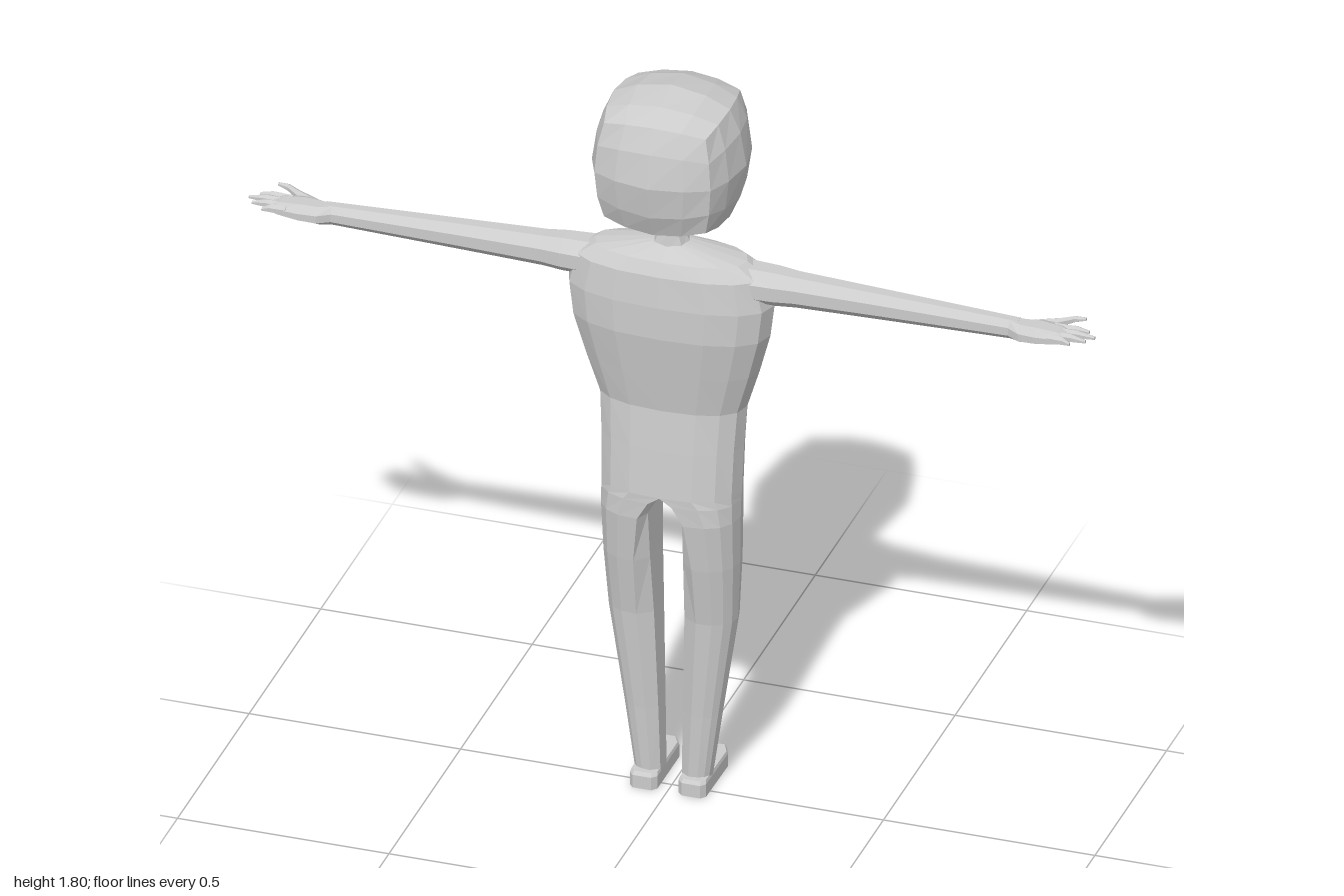
import * as THREE from 'three';

const material = new THREE.MeshStandardMaterial({ color: 0xcccccc, flatShading: true });

// Skin a list of rings (equal point counts) and cap both ends, facing outward.
function loft(rings) {
  const n = rings[0].length, pos = [], idx = [];
  rings.forEach(r => r.forEach(p => pos.push(p[0], p[1], p[2])));
  for (let i = 0; i < rings.length - 1; i++) {
    for (let j = 0; j < n; j++) {
      const a = i * n + j, b = i * n + (j + 1) % n;
      idx.push(a, b, a + n, b, b + n, a + n);
    }
  }
  [0, rings.length - 1].forEach((k, end) => {
    const c = [0, 1, 2].map(d => rings[k].reduce((s, p) => s + p[d], 0) / n);
    const ci = pos.length / 3;
    pos.push(...c);
    for (let j = 0; j < n; j++) {
      const a = k * n + j, b = k * n + (j + 1) % n;
      if (end) idx.push(a, b, ci); else idx.push(b, a, ci);
    }
  });
  // The signed volume tells whether the winding must be reversed.
  const v = i => new THREE.Vector3().fromArray(pos, i * 3);
  let volume = 0;
  for (let i = 0; i < idx.length; i += 3) volume += v(idx[i]).dot(v(idx[i + 1]).cross(v(idx[i + 2])));
  if (volume < 0) idx.reverse();
  const g = new THREE.BufferGeometry();
  g.setAttribute('position', new THREE.Float32BufferAttribute(pos, 3));
  g.setIndex(idx);
  g.computeVertexNormals();
  return g;
}

function mesh(name, geometry) {
  const m = new THREE.Mesh(geometry, material);
  m.name = name;
  return m;
}

// Rounded unit section: superellipse point at an angle.
const power = (v, e) => Math.sign(v) * Math.pow(Math.abs(v), 2 / e);
const unit = (a, e) => [power(Math.cos(a), e), power(Math.sin(a), e)];

// Horizontal section: half width and z range.
function bodyRing([y, w, z0, z1], e = 2.4, n = 16) {
  return Array.from({ length: n }, (_, i) => {
    const [c, s] = unit((i / n) * Math.PI * 2, e);
    return [w * c, y, (z0 + z1) / 2 + ((z1 - z0) / 2) * s];
  });
}

// Leg section: rounded outside, flatter inside; k rounds the inner corners.
function legRing([y, inner, outer, z0, z1, k], side) {
  const w = outer - inner, mid = (z0 + z1) / 2, h = (z1 - z0) / 2, ring = [];
  for (let i = 0; i <= 8; i++) {
    const [c, s] = unit(-Math.PI / 2 + (i / 8) * Math.PI, 2.4);
    ring.push([side * (inner + w * (k + (1 - k) * Math.max(c, 0))), y, mid + h * s]);
  }
  ring.push([side * inner, y, mid + h * 0.6], [side * inner, y, mid - h * 0.6]);
  return ring;
}

// Section across an arm or finger: centre and half sizes.
function limbRing([x, y, z, hy, hz], side, n) {
  return Array.from({ length: n }, (_, i) => {
    const a = ((i + 0.5) / n) * Math.PI * 2;
    return [side * x, y + hy * Math.sin(a), z + hz * Math.cos(a)];
  });
}

// Cube pushed most of the way to a sphere.
function headGeometry() {
  const g = new THREE.BoxGeometry(2, 2, 2, 4, 4, 4), p = g.attributes.position;
  const v = new THREE.Vector3();
  for (let i = 0; i < p.count; i++) {
    v.fromBufferAttribute(p, i);
    const cube = v.clone();
    v.normalize().lerp(cube, 0.25).multiplyScalar(0.176);
    p.setXYZ(i, v.x, v.y + 1.628, v.z);
  }
  g.computeVertexNormals();
  return g;
}

const TORSO = [ // y, half width, z min, z max
  [1.41, 0.04, -0.03, 0.03], [1.385, 0.18, -0.065, 0.075], [1.355, 0.225, -0.082, 0.092],
  [1.28, 0.243, -0.098, 0.1], [1.2, 0.233, -0.1, 0.1], [1.1, 0.205, -0.1, 0.085],
  [1.0, 0.173, -0.1, 0.07], [0.9, 0.167, -0.1, 0.08], [0.785, 0.164, -0.098, 0.09],
];
const LEG = [ // y, inner x, outer x, z min, z max, inner rounding
  [0.785, 0, 0.164, -0.098, 0.09, 0], [0.765, 0.024, 0.163, -0.094, 0.088, 0.03],
  [0.72, 0.04, 0.162, -0.088, 0.085, 0.12], [0.6, 0.039, 0.159, -0.082, 0.068, 0.25],
  [0.45, 0.036, 0.151, -0.074, 0.043, 0.3], [0.2, 0.029, 0.114, -0.058, 0.027, 0.3],
  [0.03, 0.025, 0.09, -0.05, 0.02, 0.3],
];
const ARM = [ // x, y, z, half height, half depth
  [0.15, 1.335, 0, 0.045, 0.06], [0.25, 1.333, 0.002, 0.045, 0.051], [0.3, 1.331, 0, 0.041, 0.043],
  [0.5, 1.328, -0.002, 0.035, 0.035], [0.82, 1.324, -0.003, 0.025, 0.025],
];
const HAND = [
  [0.8, 1.324, -0.003, 0.025, 0.025], [0.83, 1.324, 0.003, 0.024, 0.038],
  [0.87, 1.329, 0.005, 0.021, 0.046], [0.92, 1.333, 0.01, 0.015, 0.04], [0.94, 1.333, 0.012, 0.009, 0.03],
];
const FINGERS = [ // root z, tip x, tip z
  [-0.016, 0.98, -0.021], [0.003, 1.0, 0], [0.021, 0.985, 0.022], [0.037, 0.955, 0.044],
];
const THUMB = [
  [0.85, 1.327, -0.022, 0.014, 0.018], [0.9, 1.33, -0.048, 0.011, 0.013],
  [0.93, 1.333, -0.068, 0.008, 0.009], [0.955, 1.334, -0.074, 0.004, 0.005],
];

// Flat slab foot with chamfered toe and heel, toe toward -z.
function footGeometry(side) {
  const outline = [
    [0.036, 0.04], [0.08, 0.04], [0.09, 0.028], [0.092, -0.12],
    [0.078, -0.15], [0.04, -0.15], [0.025, -0.125], [0.025, 0.028],
  ];
  return loft([0, 0.032, 0.04].map((y, i) => outline.map(([x, z]) => {
    const f = i === 2 ? 0.93 : 1;
    return [side * (0.058 + (x - 0.058) * f), y, -0.055 + (z + 0.055) * f];
  })));
}

export function createModel() {
  const model = new THREE.Group();
  model.name = 'figure';
  model.add(mesh('head', headGeometry()));
  model.add(mesh('neck', loft([
    [1.39, 0.05, -0.04, 0.04], [1.43, 0.033, -0.033, 0.033], [1.48, 0.032, -0.033, 0.033],
  ].map(r => bodyRing(r, 2.4, 8)))));
  model.add(mesh('torso', loft(TORSO.map(r => bodyRing(r)))));

  for (const [side, label] of [[1, 'left'], [-1, 'right']]) {
    model.add(mesh(label + 'Leg', loft(LEG.map(r => legRing(r, side)))));
    model.add(mesh(label + 'Foot', footGeometry(side)));
    model.add(mesh(label + 'Arm', loft(ARM.map(r => limbRing(r, side, 8)))));

    const hand = new THREE.Group();
    hand.name = label + 'Hand';
    hand.add(mesh('palm', loft(HAND.map(r => limbRing(r, side, 8)))));
    FINGERS.forEach(([z, tipX, tipZ], i) => {
      const rings = [
        [0.9, 1.334, z, 0.012, 0.011], [(0.92 + tipX) / 2, 1.336, (z + tipZ) / 2, 0.01, 0.01],
        [tipX, 1.333, tipZ, 0.004, 0.005],
      ];
      hand.add(mesh('finger' + (i + 1), loft(rings.map(r => limbRing(r, side, 6)))));
    });
    hand.add(mesh('thumb', loft(THUMB.map(r => limbRing(r, side, 6)))));
    model.add(hand);
  }
  return model;
}
